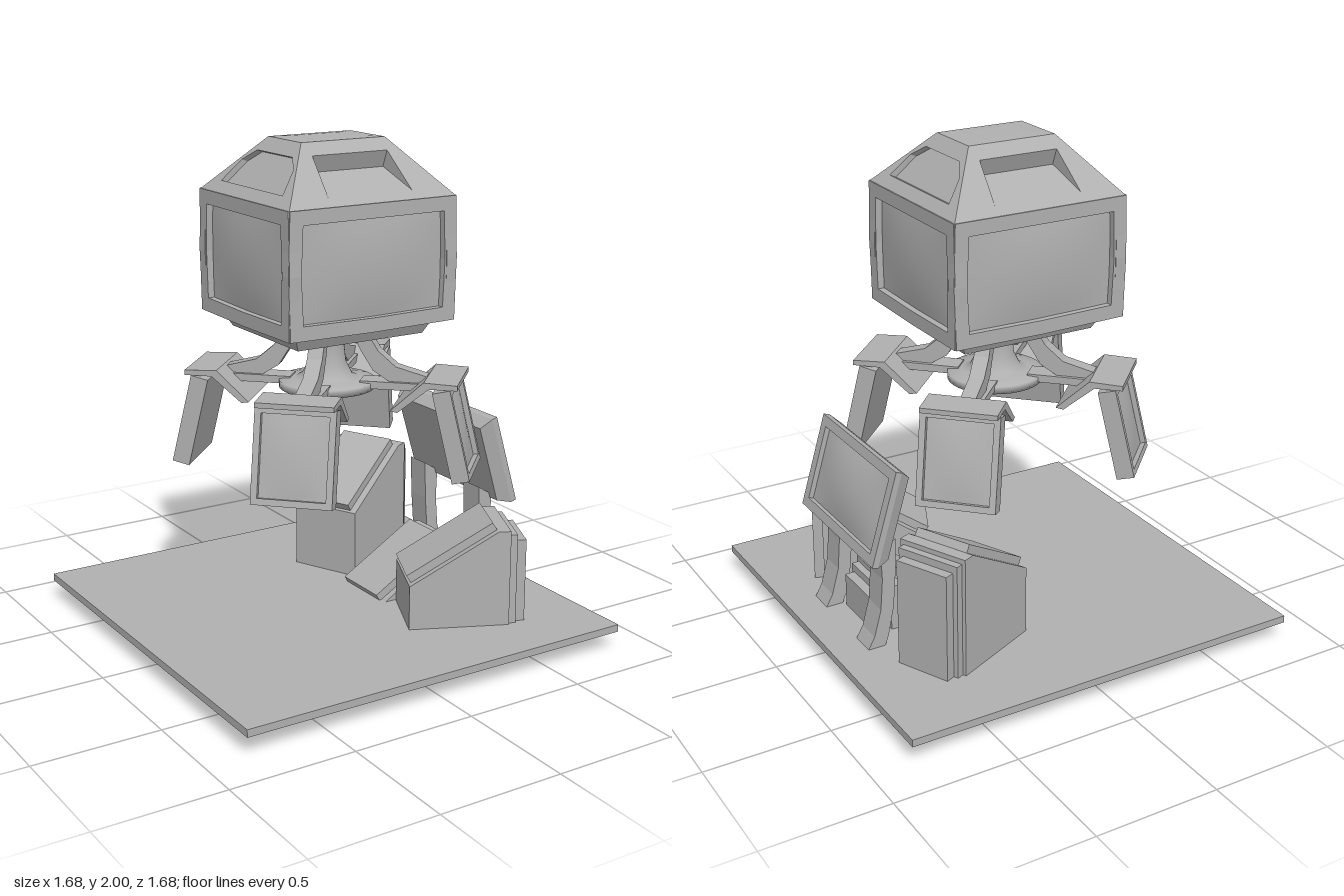
import * as THREE from 'three';

const grey = new THREE.MeshStandardMaterial({ color: 0xb0b0b0, side: THREE.DoubleSide });
grey.name = 'plain grey';

function add(parent, name, geometry, x = 0, y = 0, z = 0) {
  const m = new THREE.Mesh(geometry, grey);
  m.name = name;
  m.position.set(x, y, z);
  parent.add(m);
  return m;
}

function group(parent, name) {
  const g = new THREE.Group();
  g.name = name;
  parent.add(g);
  return g;
}

const toShape = (pts) => new THREE.Shape(pts.map(([x, y]) => new THREE.Vector2(x, y)));

// Side profile in x/y, extruded symmetrically along z
function slab(pts, width) {
  const g = new THREE.ExtrudeGeometry(toShape(pts), { depth: width, bevelEnabled: false });
  return g.translate(0, 0, -width / 2);
}

// Flat-sided surface between two loops, optionally closed by the second loop
function bridge(a, b, cap = false) {
  const pos = [];
  a.forEach((p, i) => {
    const j = (i + 1) % a.length;
    pos.push(...p, ...a[j], ...b[j], ...p, ...b[j], ...b[i]);
  });
  if (cap) for (let i = 1; i < b.length - 1; i++) pos.push(...b[0], ...b[i], ...b[i + 1]);
  const g = new THREE.BufferGeometry();
  g.setAttribute('position', new THREE.Float32BufferAttribute(pos, 3));
  g.computeVertexNormals();
  return g;
}

const rect = (hx, hz, y) => [[-hx, y, hz], [hx, y, hz], [hx, y, -hz], [-hx, y, -hz]];

// Slightly domed rectangle facing +z
function dome(w, h, bulge) {
  const g = new THREE.PlaneGeometry(w, h, 10, 10);
  const p = g.attributes.position;
  for (let i = 0; i < p.count; i++) {
    const u = (2 * p.getX(i)) / w, v = (2 * p.getY(i)) / h;
    p.setZ(i, bulge * (1 - u * u) * (1 - v * v));
  }
  g.computeVertexNormals();
  return g;
}

// Rectangular rim with an opening; its middle swells outward a little
function rim(w, h, border, depth, swell = 0) {
  const loop = (a, b) => [[-a, -b], [0, -b - swell / 2], [a, -b], [a + swell, 0], [a, b], [0, b], [-a, b], [-a - swell, 0]];
  const s = toShape(loop(w / 2, h / 2));
  s.holes.push(toShape(loop(w / 2 - border, h / 2 - border)));
  return new THREE.ExtrudeGeometry(s, { depth, bevelEnabled: false });
}

// Framed monitor, centred, facing +z
function monitor(parent, name, w, h, d, border, bulge, taper = 0) {
  const g = group(parent, name);
  const lip = 0.025;
  const loop = (a, b, z) => [[-a, -b, z], [a, -b, z], [a, b, z], [-a, b, z]];
  add(g, 'monitorBack', bridge(loop(w / 2, h / 2, d / 2 - lip), loop(w / 2 - taper, h / 2 - taper, -d / 2), true));
  add(g, 'monitorFrame', rim(w, h, border, lip), 0, 0, d / 2 - lip);
  add(g, 'monitorScreen', dome(w - 2 * border, h - 2 * border, bulge), 0, 0, d / 2 - lip + 0.004);
  return g;
}

function buildHead(root) {
  const head = group(root, 'head');
  head.position.set(-0.005, 0, 0.017);
  add(head, 'headCore', new THREE.BoxGeometry(0.66, 0.47, 0.6), 0, 1.55, 0);
  add(head, 'headCollar', bridge(rect(0.31, 0.28, 1.31), rect(0.28, 0.25, 1.25), true));
  add(head, 'roofTop', bridge(rect(0.185, 0.12, 2.0), rect(0.12, 0.07, 2.003), true));

  for (let k = 0; k < 4; k++) {
    const frontal = k % 2 === 0;
    const side = group(head, frontal ? 'frontBackSide' : 'flankSide');
    side.rotation.y = (k * Math.PI) / 2;
    const half = frontal ? 0.365 : 0.335, dist = frontal ? 0.335 : 0.365;

    // Big framed screen
    add(side, 'screenFrame', rim(2 * half, 0.48, 0.055, 0.045, 0.008), 0, 1.55, dist - 0.04);
    add(side, 'headScreen', dome(2 * half - 0.1, 0.385, 0.018), 0, 1.55, dist - 0.022);

    // Sloped roof face with a window opening
    const topHalf = frontal ? 0.185 : 0.12, topDist = frontal ? 0.12 : 0.185;
    const zAt = (y) => dist + ((topDist - dist) * (y - 1.79)) / 0.21;
    const open = frontal
      ? [[-0.185, 1.82], [0.185, 1.82], [0.165, 1.955], [-0.165, 1.955]]
      : [[-0.23, 1.83], [0.23, 1.83], [0.19, 1.91], [0.13, 1.95], [-0.13, 1.95], [-0.19, 1.91]];
    const face = toShape([[-half, 1.79], [half, 1.79], [topHalf, 2], [-topHalf, 2]]);
    face.holes.push(toShape(open));
    const g = new THREE.ShapeGeometry(face);
    const p = g.attributes.position;
    for (let i = 0; i < p.count; i++) p.setZ(i, zAt(p.getY(i)));
    g.computeVertexNormals();
    add(side, 'roofFace', g);

    // Window recess: a deep notch front and back, a shallow pane on the flanks
    const outer = open.map(([x, y]) => [x, y, zAt(y)]);
    const inner = frontal
      ? [[-0.18, 1.822, zAt(1.825)], [0.18, 1.822, zAt(1.825)], [0.165, 1.89, 0.14], [-0.165, 1.89, 0.14]]
      : open.map(([x, y]) => [x * 0.96, y - 0.008, zAt(y) - 0.02]);
    add(side, 'roofWindow', bridge(outer, inner, true));
  }
}

function buildMount(root) {
  const mount = group(root, 'mount');
  mount.position.set(-0.002, 0, 0.017);
  // Flared neck and foot disc
  const neck = [[0, 1.27], [0.075, 1.27], [0.066, 1.2], [0.075, 1.12], [0.1, 1.07], [0.13, 1.055], [0.19, 1.05], [0.19, 1.02], [0, 1.01]];
  add(mount, 'neck', new THREE.LatheGeometry(neck.map(([x, y]) => new THREE.Vector2(x, y)), 32));

  // Four diagonal arms with hanging monitors
  for (let k = 0; k < 4; k++) {
    const arm = group(mount, 'hangingArm');
    arm.rotation.y = Math.PI / 4 + (k * Math.PI) / 2;
    const strut = [[0.1, 1.26], [0.16, 1.26], [0.21, 1.18], [0.28, 1.12], [0.41, 1.085], [0.41, 1.05], [0.27, 1.05], [0.19, 1.1], [0.14, 1.18]];
    add(arm, 'curvedStrut', slab(strut, 0.06)).rotation.y = -Math.PI / 2;
    add(arm, 'spoke', new THREE.BoxGeometry(0.09, 0.03, 0.24), 0, 1.045, 0.26);
    const bracket = [[0.54, 1.09], [0.41, 1.095], [0.28, 0.975], [0.31, 0.97], [0.43, 1.07], [0.54, 1.07]];
    add(arm, 'bentBracket', slab(bracket, 0.3)).rotation.y = -Math.PI / 2;
    const m = monitor(arm, 'hangingMonitor', 0.31, 0.365, 0.07, 0.025, 0.012);
    m.position.set(0, 0.885, 0.52);
    m.rotation.x = -0.23;
  }
}

// Wedge cabinet running along local x, with a sloped desk and an outer panel
function kiosk(root, name, x0, x1, yBase, yLow, yHigh, width) {
  const k = group(root, name);
  add(k, 'cabinet', slab([[x0, yBase], [x1, yBase], [x1, yHigh], [x1 - 0.05, yHigh], [x0, yLow]], width));
  const run = x1 - 0.05 - x0, rise = yHigh - yLow;
  const desk = add(k, 'slopedDesk', new THREE.BoxGeometry(Math.hypot(run, rise) * 0.97, 0.05, width - 0.06),
    x0 + run / 2, yLow + rise / 2 + 0.01, 0);
  desk.rotation.z = Math.atan2(rise, run);
  const y0 = yBase + 0.02;
  [[0.03, 0.03, 0.02], [0.07, 0.07, 0.05]].forEach(([out, trim, drop], i) => {
    const h = yHigh - drop - y0;
    add(k, i ? 'outerPanel' : 'outerFrame', new THREE.BoxGeometry(out, h, width - trim), x1 + out / 2, y0 + h / 2, 0);
  });
  return k;
}

function buildConsole(root) {
  // Two angled side cabinets, the rear one taller
  for (const s of [1, -1]) {
    const lift = s > 0 ? 0 : 0.1;
    const holder = group(root, s > 0 ? 'frontCabinet' : 'rearCabinet');
    holder.rotation.y = -s * 0.428;
    holder.position.z = s > 0 ? 0.034 : 0;
    kiosk(holder, 'sideKiosk', 0.27, 0.67, 0.02, 0.29 + lift, 0.5 + lift, 0.3).position.z = s * 0.178;
  }
  kiosk(root, 'middleKiosk', 0.17, 0.56, 0.005, 0.1, 0.3, 0.3).position.z = 0.015;

  // Large tilted monitor on two curved legs
  const m = monitor(root, 'consoleMonitor', 0.63, 0.385, 0.075, 0.04, 0.025, 0.025);
  m.rotation.order = 'YXZ';
  m.rotation.set(-0.29, Math.PI / 2, 0);
  m.position.set(0.625, 0.678, 0.015);
  const leg = [[0.58, 0.56], [0.645, 0.52], [0.64, 0.4], [0.65, 0.27], [0.68, 0.16], [0.73, 0.07], [0.66, 0.045], [0.62, 0.15], [0.595, 0.27], [0.585, 0.4]];
  for (const z of [0.205, -0.175]) add(root, 'curvedLeg', slab(leg, 0.105), 0, 0, z);
}

export function createModel() {
  const root = new THREE.Group();
  root.name = 'monitorStation';
  add(root, 'floor', new THREE.BoxGeometry(1.68, 0.03, 1.68), 0, 0.095, 0);
  buildHead(root);
  buildMount(root);
  buildConsole(root);
  return root;
}
